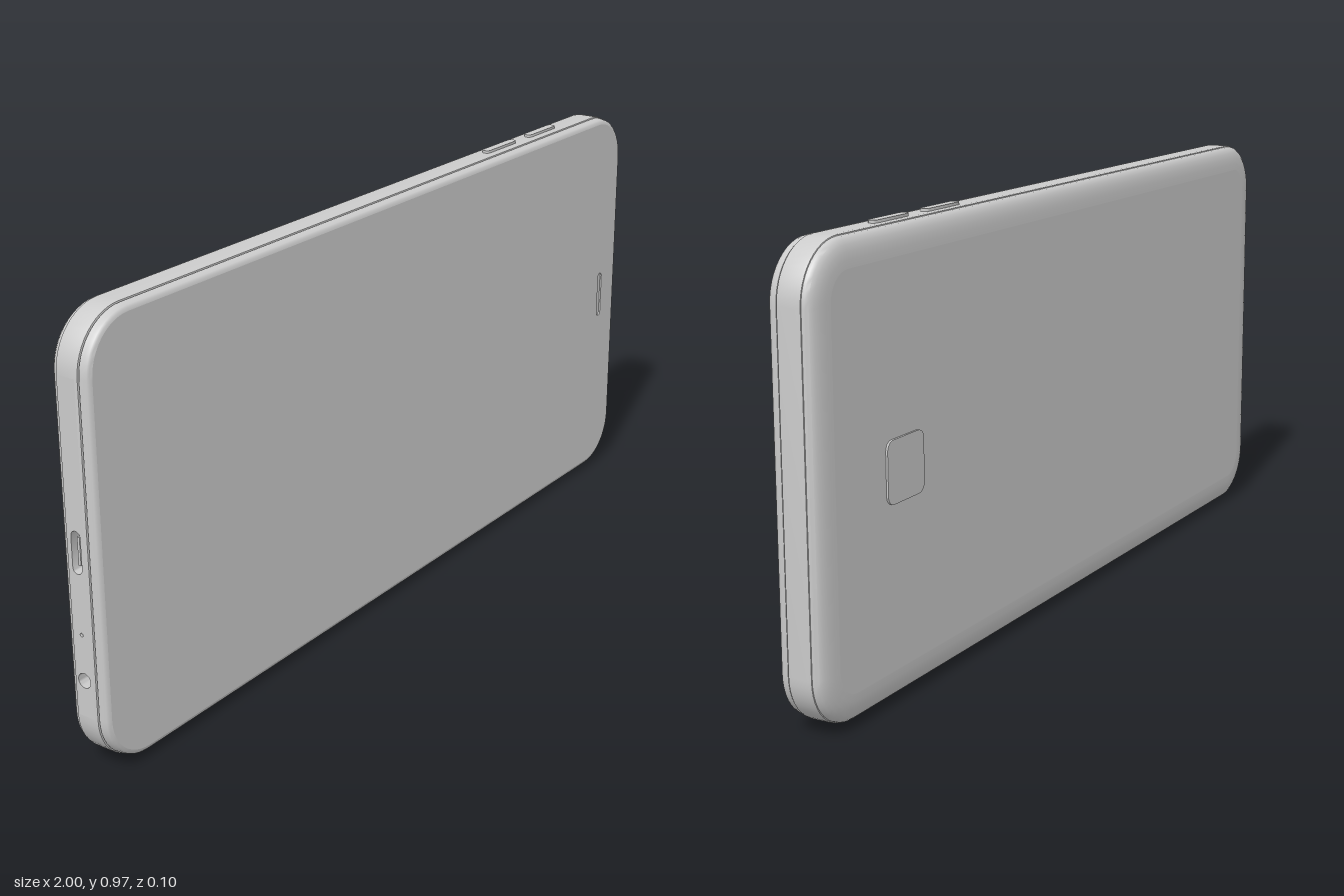
import * as THREE from 'three';
import { toCreasedNormals } from 'three/addons/utils/BufferGeometryUtils.js';

const HALF_W = 1, HALF_H = 0.475, CORNER = 0.12, CENTER_Y = 0.485, STEPS = 12;
const END_WALL = 2 * STEPS + 1; // ring segment that forms the straight -x end

// Rounded rectangle outline, counter-clockwise from the front
function ring(halfW, halfH, r, steps = STEPS) {
  const pts = [];
  [[1, 1], [-1, 1], [-1, -1], [1, -1]].forEach(([sx, sy], c) => {
    for (let i = 0; i <= steps; i++) {
      const a = (c + i / steps) * Math.PI / 2;
      pts.push(new THREE.Vector2(sx * (halfW - r) + r * Math.cos(a), sy * (halfH - r) + r * Math.sin(a)));
    }
  });
  return pts;
}
const bodyRing = (inset) => ring(HALF_W - inset, HALF_H - inset, CORNER - inset);

// Band through [z, inset] sections from front to back; openLayer leaves out the -x wall
function band(profile, openLayer = -1) {
  const pos = [], idx = [], n = 4 * (STEPS + 1);
  for (const [z, inset] of profile) for (const p of bodyRing(inset)) pos.push(p.x, p.y, z);
  for (let k = 0; k < profile.length - 1; k++) {
    for (let i = 0; i < n; i++) {
      if (k === openLayer && i === END_WALL) continue;
      const j = (i + 1) % n;
      const a = k * n + i, b = a + n, c = (k + 1) * n + j, d = k * n + j;
      idx.push(a, b, c, a, c, d);
    }
  }
  const g = new THREE.BufferGeometry();
  g.setAttribute('position', new THREE.Float32BufferAttribute(pos, 3));
  g.setIndex(idx);
  return toCreasedNormals(g, 0.65);
}

// Flat plate whose front face lies on z = 0
function plate(outline, depth, holes = []) {
  const shape = new THREE.Shape(outline);
  holes.forEach((h) => shape.holes.push(new THREE.Path(h)));
  const g = new THREE.ExtrudeGeometry(shape, { depth, bevelEnabled: false });
  g.translate(0, 0, -depth);
  return toCreasedNormals(g, 0.65);
}
const moved = (pts, x, y) => pts.map((p) => new THREE.Vector2(p.x + x, p.y + y));

export function createModel() {
  const model = new THREE.Group();
  const body = new THREE.Group();
  body.name = 'phone';
  body.position.y = CENTER_Y;
  model.add(body);
  const material = new THREE.MeshStandardMaterial({ color: 0xcccccc });
  const add = (name, geometry, x = 0, y = 0, z = 0) => {
    const mesh = new THREE.Mesh(geometry, material);
    mesh.name = name;
    mesh.position.set(x, y, z);
    body.add(mesh);
    return mesh;
  };

  // Front glass: curved rim and flat face with the earpiece slot
  add('glassRim', band([[0.052, 0.016], [0.0505, 0.01], [0.047, 0.006], [0.04, 0.004], [0.031, 0.003], [0.0295, 0.007]]));
  const slot = moved(ring(0.009, 0.058, 0.0089, 6), 0.915, 0);
  add('screen', plate(bodyRing(0.016), 0.005, [slot]), 0, 0, 0.052);
  add('earpieceMesh', new THREE.BoxGeometry(0.03, 0.13, 0.002), 0.915, 0, 0.047);

  // Metal frame, open at the -x end for the port panel
  add('frame', band([[0.0295, 0.007], [0.0285, 0.001], [0.022, 0], [-0.018, 0], [-0.024, 0.001], [-0.0245, 0.003]], 2));

  // Port panel: charging port, microphone hole and headphone jack
  const wallHalf = HALF_H - CORNER;
  const outline = [[-0.018, -wallHalf], [0.022, -wallHalf], [0.022, wallHalf], [-0.018, wallHalf]]
    .map(([x, y]) => new THREE.Vector2(x, y));
  const round = (r, y) => moved(ring(r, r, r * 0.999, 6), 0, y);
  const ports = plate(outline, 0.03, [ring(0.012, 0.045, 0.0119, 6), round(0.004, -0.175), round(0.016, -0.275)]);
  add('portPanel', ports, -HALF_W).rotation.y = -Math.PI / 2;
  add('portFloor', new THREE.BoxGeometry(0.004, 2 * wallHalf, 0.04), -HALF_W + 0.031, 0, 0.002);
  add('chargingTongue', new THREE.BoxGeometry(0.022, 0.06, 0.006), -HALF_W + 0.018);

  // Back cover: soft curve into a flat panel
  add('backRim', band([[-0.0245, 0.003], [-0.031, 0.004], [-0.037, 0.009], [-0.042, 0.018],
    [-0.0455, 0.031], [-0.0474, 0.046], [-0.048, 0.062]]));
  add('backPanel', plate(bodyRing(0.062), 0.003), 0, 0, -0.048).rotation.y = Math.PI;

  // Raised camera window
  const camera = plate(ring(0.065, 0.065, 0.02, 6), 0.006);
  add('cameraWindow', camera, 0.705, -0.005, -0.0525).rotation.y = Math.PI;

  // Side keys: two on the upper edge, one on the lower edge
  for (const [name, x, side, len] of [['volumeKeyA', 0.485, 1, 0.13], ['volumeKeyB', 0.672, 1, 0.124], ['powerKey', 0.41, -1, 0.124]]) {
    const key = plate(ring(len / 2, 0.01, 0.0099, 6), 0.02);
    add(name, key, x, side * (HALF_H + (side > 0 ? 0.006 : 0.01))).rotation.x = -side * Math.PI / 2;
  }
  return model;
}
